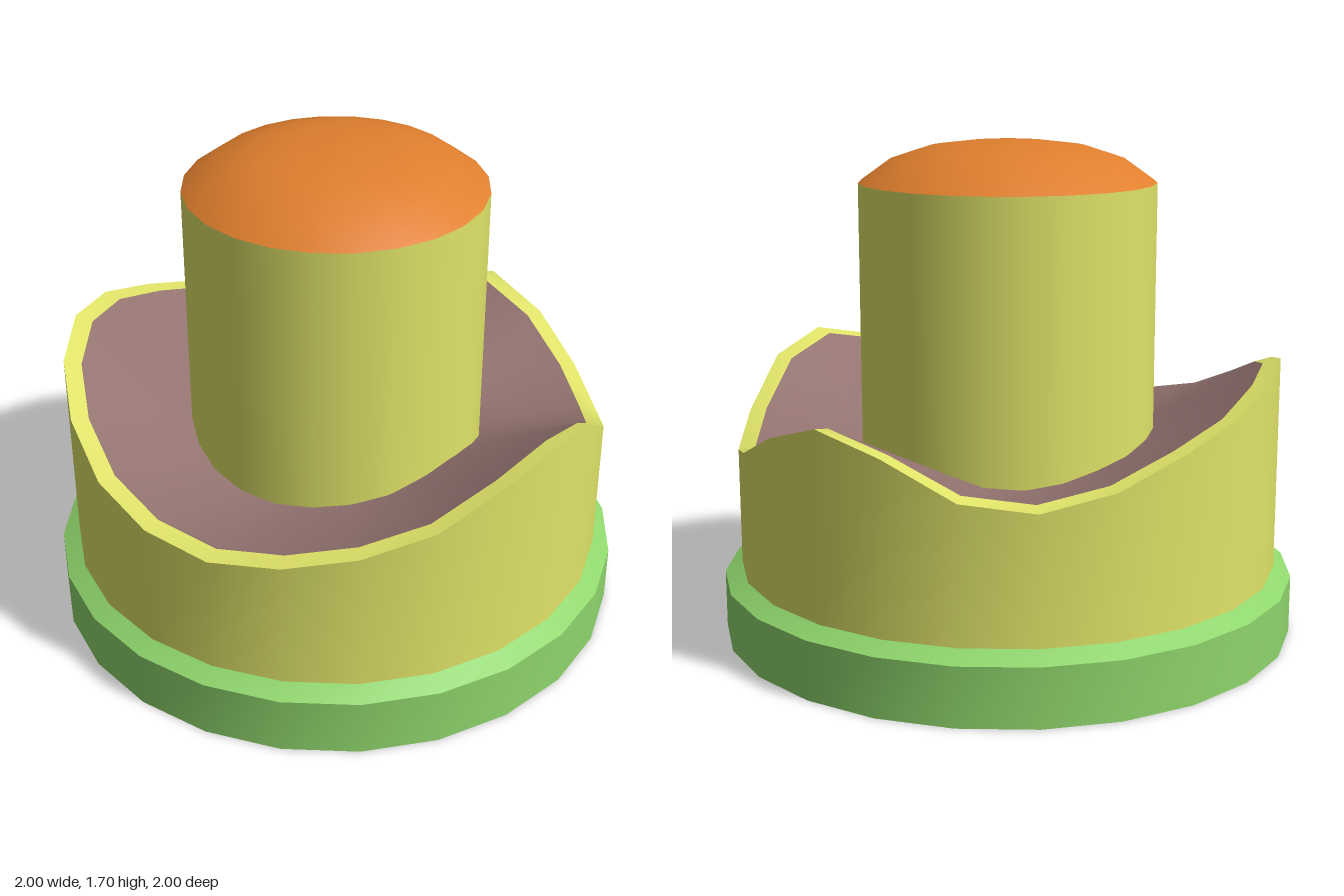
import * as THREE from 'three';

const SIDES = 24;
const TURN = 2.3 * Math.PI / 180;

// Height of the wavy rim at each corner, going round from the back over +x
const RIM = [
  0.69, 0.81, 0.87, 0.795, 0.69, 0.64, 0.725, 0.88,
  0.945, 0.89, 0.79, 0.73, 0.685, 0.655, 0.68, 0.74,
  0.84, 0.93, 0.975, 0.945, 0.87, 0.80, 0.71, 0.66,
];

const paint = (color) => new THREE.MeshStandardMaterial({ color, side: THREE.DoubleSide });
const yellow = paint(0xe0e468);
const green = paint(0x8fd66c);
const brown = paint(0x937370);
const orange = paint(0xe07f2e);

// Smooth closed surface through a list of rings, each [radius, height(k)]
function skin(rings) {
  const position = [];
  const index = [];
  rings.forEach(([radius, height], r) => {
    for (let k = 0; k < SIDES; k++) {
      const a = TURN + (k / SIDES) * Math.PI * 2;
      position.push(radius * Math.sin(a), height(k), -radius * Math.cos(a));
      if (r === 0) continue;
      const next = (k + 1) % SIDES;
      const lo = (r - 1) * SIDES;
      const hi = r * SIDES;
      index.push(lo + k, hi + k, lo + next, lo + next, hi + k, hi + next);
    }
  });
  const geometry = new THREE.BufferGeometry();
  geometry.setAttribute('position', new THREE.Float32BufferAttribute(position, 3));
  geometry.setIndex(index);
  geometry.computeVertexNormals();
  return geometry;
}

export function createModel() {
  const group = new THREE.Group();
  const add = (name, geometry, material) => {
    const mesh = new THREE.Mesh(geometry, material);
    mesh.name = name;
    group.add(mesh);
    return mesh;
  };

  const flat = (y) => () => y;
  const outerRim = (k) => RIM[k];
  const innerRim = (k) => RIM[k] + 0.1 * (0.78 - RIM[k]);
  const floorMid = (k) => 0.62 + 0.3 * (RIM[k] - 0.7);

  // Open base band with a bevelled shoulder
  add('baseBand', skin([[1, flat(0)], [1, flat(0.2)]]), green);
  add('baseShoulder', skin([[1, flat(0.2)], [0.94, flat(0.235)]]), green);

  // Wavy wall and its narrow top edge
  add('wall', skin([[0.94, flat(0.235)], [0.94, outerRim]]), yellow);
  add('wallRim', skin([[0.94, outerRim], [0.88, innerRim]]), yellow);

  // Sagging floor stretched inside the rim
  add('innerFloor', skin([[0.88, innerRim], [0.5, floorMid], [0.001, flat(0.6)]]), brown);

  // Central post, open below
  const post = add('post', new THREE.CylinderGeometry(0.51, 0.51, 0.95, 24, 1, true), yellow);
  post.position.y = 1.085;

  // Shallow dome on the post
  const dome = [[0.51, 1.56], [0.405, 1.635], [0.27, 1.68], [0.14, 1.696], [0, 1.703]];
  add('dome', new THREE.LatheGeometry(dome.map(([x, y]) => new THREE.Vector2(x, y)), 24), orange);

  return group;
}
